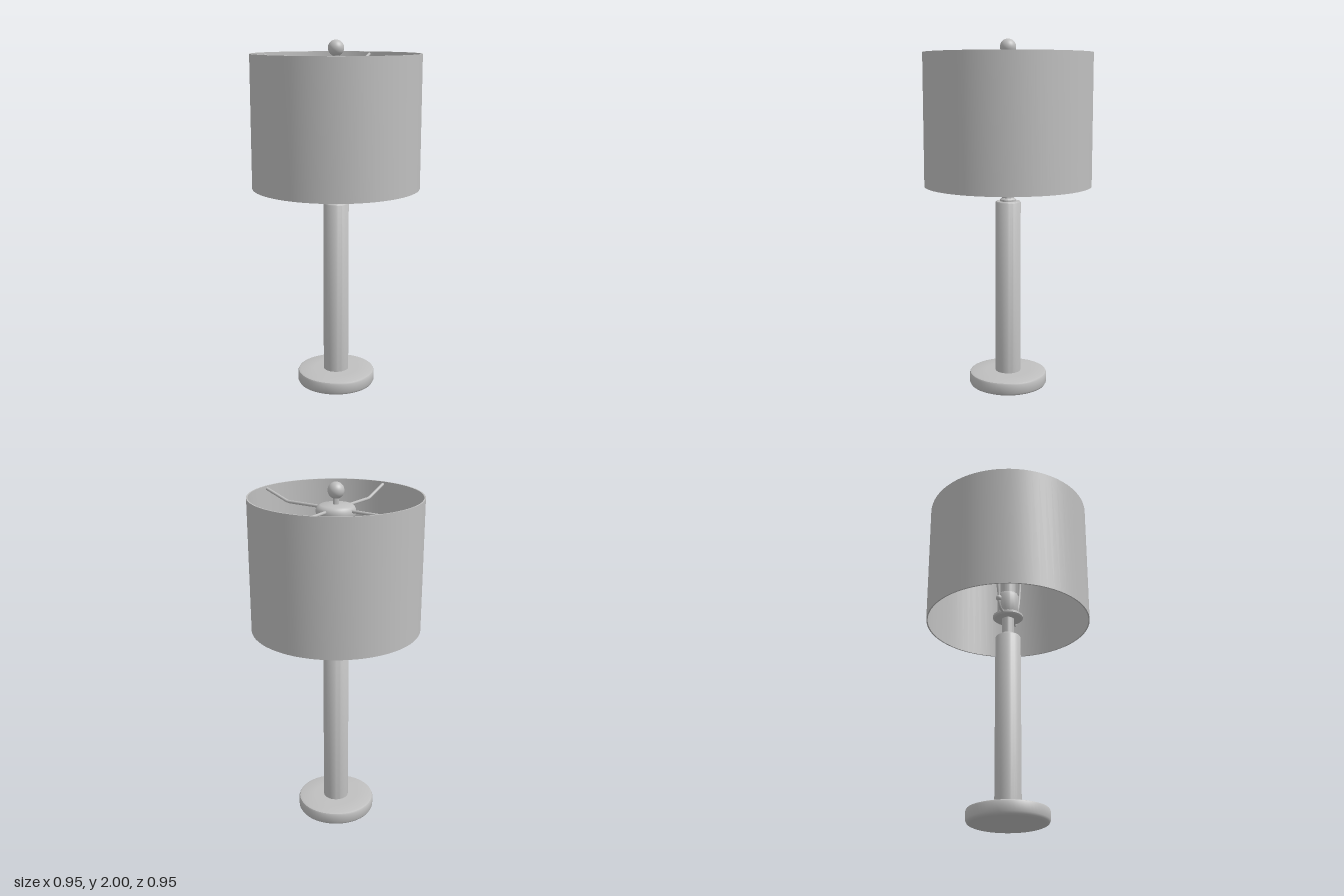
import * as THREE from 'three';
import { toCreasedNormals } from 'three/addons/utils/BufferGeometryUtils.js';

export function createModel() {
  const lamp = new THREE.Group();
  lamp.name = 'tableLamp';
  const grey = new THREE.MeshStandardMaterial({ color: 0xbfbfbf });
  grey.name = 'plain grey';

  function add(name, geometry, parent = lamp) {
    const mesh = new THREE.Mesh(geometry, grey);
    mesh.name = name;
    parent.add(mesh);
    return mesh;
  }
  // Turned part: profile of [radius, height], listed bottom to top
  function turned(name, profile, segments = 48) {
    const points = profile.map(([r, y]) => new THREE.Vector2(r, y));
    return add(name, toCreasedNormals(new THREE.LatheGeometry(points, segments), 0.7));
  }
  function ball(name, r, x, y, z, parent = lamp) {
    add(name, new THREE.SphereGeometry(r, 32, 20), parent).position.set(x, y, z);
  }

  // Foot and column
  turned('base', [[0, 0], [0.205, 0], [0.218, 0.006], [0.225, 0.018], [0.225, 0.068],
    [0.221, 0.076], [0.21, 0.08], [0.13, 0.083], [0, 0.083]], 64);
  turned('column', [[0, 0.08], [0.073, 0.08], [0.073, 1.083], [0.068, 1.09], [0, 1.09]]);
  turned('collar', [[0, 1.085], [0.045, 1.085], [0.045, 1.1], [0.036, 1.11], [0, 1.11]]);
  turned('neck', [[0, 1.1], [0.035, 1.1], [0.035, 1.22], [0, 1.22]]);

  // Light fitting
  turned('saddle', [[0, 1.205], [0.08, 1.205], [0.088, 1.212], [0.088, 1.224], [0.08, 1.23], [0, 1.23]]);
  turned('socket', [[0, 1.23], [0.05, 1.23], [0.063, 1.26], [0.063, 1.35], [0.056, 1.365],
    [0.045, 1.37], [0.045, 1.45], [0, 1.45]]);
  turned('bulb', [[0, 1.44], [0.04, 1.44], [0.044, 1.49], [0.07, 1.55], [0.088, 1.6], [0.093, 1.64],
    [0.086, 1.68], [0.066, 1.711], [0.035, 1.73], [0, 1.735]]);

  // Harp: a wire loop around the bulb with a sleeve low on each side
  const harp = new THREE.Group();
  harp.name = 'harp';
  harp.rotation.y = -0.74;
  lamp.add(harp);
  const side = [[0.07, 1.218], [0.12, 1.222], [0.145, 1.25], [0.152, 1.3], [0.185, 1.4],
    [0.205, 1.52], [0.19, 1.66], [0.13, 1.78], [0.05, 1.82]];
  const loop = [...side, ...side.slice().reverse().map(([x, y]) => [-x, y])];
  const wire = new THREE.CatmullRomCurve3(loop.map(([x, y]) => new THREE.Vector3(x, y, 0)));
  add('harpWire', new THREE.TubeGeometry(wire, 120, 0.008, 8), harp);
  for (const s of [-1, 1]) ball('harpSleeve', 0.017, s * 0.15, 1.272, 0, harp);

  // Hub, stud and finial on top
  turned('hub', [[0, 1.805], [0.085, 1.805], [0.1, 1.813], [0.108, 1.83], [0.108, 1.855],
    [0.1, 1.871], [0.085, 1.879], [0, 1.882]]);
  turned('stud', [[0, 1.875], [0.016, 1.875], [0.016, 1.925], [0, 1.925]], 24);
  ball('finial', 0.045, 0, 1.955, 0);

  // Spokes run level from the hub, then rise to the rim
  const spoke = new THREE.CurvePath();
  const path = [[0.08, 1.855], [0.32, 1.855], [0.467, 1.91]].map(([x, y]) => new THREE.Vector3(x, y, 0));
  spoke.add(new THREE.LineCurve3(path[0], path[1]));
  spoke.add(new THREE.LineCurve3(path[1], path[2]));
  const spokeGeometry = new THREE.TubeGeometry(spoke, 24, 0.009, 8);
  for (const angle of [0.74, 2.33, 3.89, 5.43]) {
    add('spoke', spokeGeometry).rotation.y = -angle;
  }

  // Drum shade, a thin open wall
  turned('shade', [[0.467, 1.18], [0.475, 1.18], [0.475, 1.925], [0.467, 1.925], [0.467, 1.18]], 72);

  return lamp;
}
